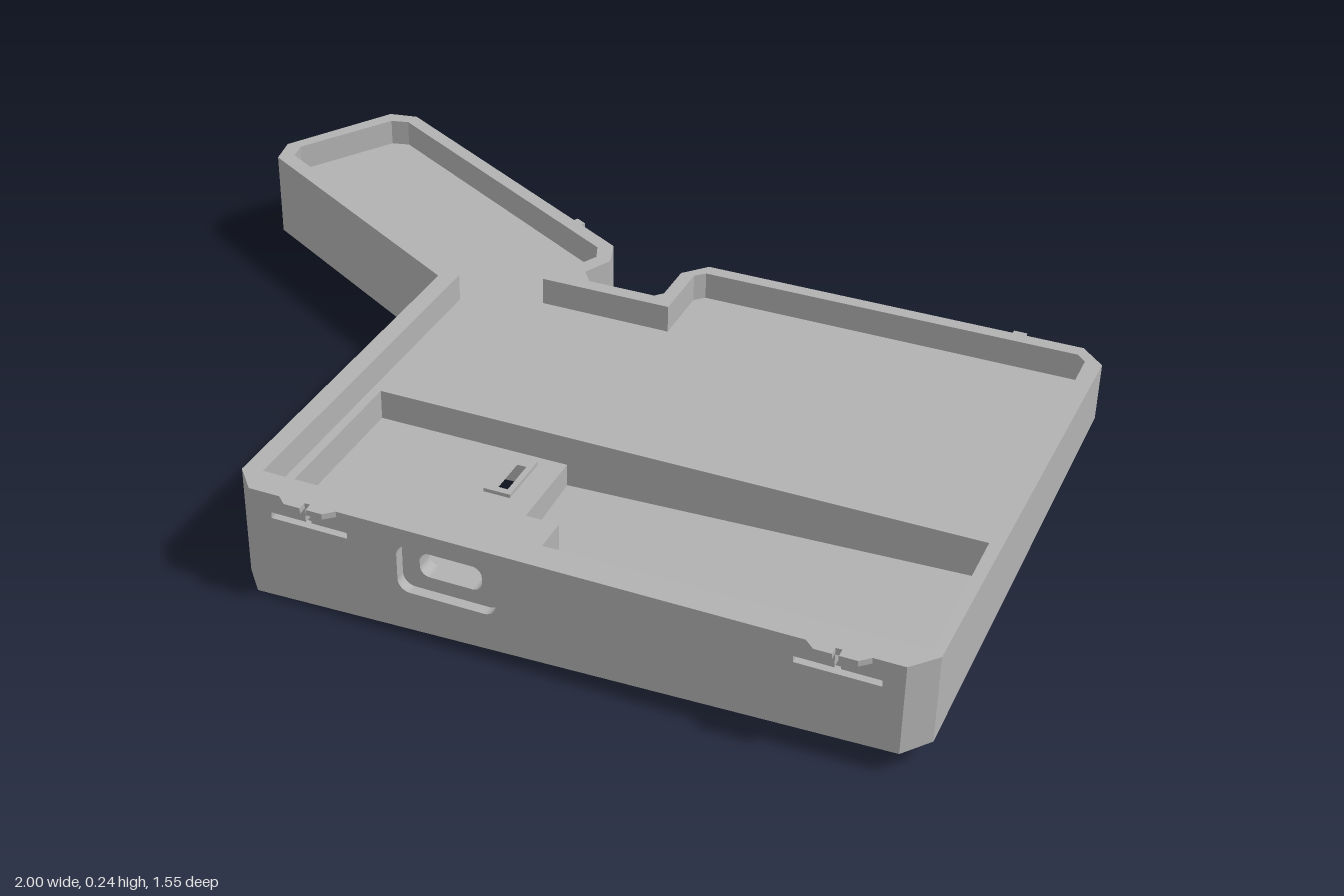
import * as THREE from 'three';

const TOP = 0.24, LEDGE = 0.18, SEAT = 0.115, ROOF = 0.1;
// the underside is one tilted plane
const under = (x, z) => 0.003 + 0.037 * (x + 0.385) - 0.057 * (z - 0.72);

const grey = new THREE.MeshStandardMaterial({ color: 0xb2b2b2 });
grey.name = 'light grey';

const rect = (x0, z0, x1, z1) => [[x0, z0], [x1, z0], [x1, z1], [x0, z1]];
const toPoints = (pts, s) => pts.map(([x, y]) => new THREE.Vector2(x, s * y));

export function createModel() {
  const model = new THREE.Group();
  model.name = 'caseTray';

  function add(name, geometry) {
    geometry.computeVertexNormals();
    const mesh = new THREE.Mesh(geometry, grey);
    mesh.name = name;
    model.add(mesh);
    return mesh;
  }

  // upright prism over an x,z outline; low and high are heights or functions of x,z
  function prism(name, outline, low, high, holes = []) {
    const shape = new THREE.Shape(toPoints(outline, -1));
    holes.forEach(h => shape.holes.push(new THREE.Path(toPoints(h, -1))));
    const g = new THREE.ExtrudeGeometry(shape, { depth: 1, bevelEnabled: false });
    g.rotateX(-Math.PI / 2);
    const p = g.attributes.position;
    for (let i = 0; i < p.count; i++) {
      const h = p.getY(i) > 0.5 ? high : low;
      p.setY(i, typeof h === 'function' ? h(p.getX(i), p.getZ(i)) : h);
    }
    return add(name, g);
  }

  // outer wall path and the matching inside path, both from front left to front right
  const outer = [
    [-0.34, 0.75], [-0.385, 0.7], [-0.385, -0.105], [-0.985, -0.45], [-1, -0.52],
    [-0.855, -0.765], [-0.79, -0.777], [-0.095, -0.38], [-0.075, -0.315], [-0.105, -0.25],
    [-0.08, -0.217], [0.07, -0.217], [0.085, -0.235], [0.085, -0.33], [0.13, -0.38],
    [0.95, -0.38], [1, -0.33], [0.98, 0.7], [0.935, 0.75]];
  const innerBack = [
    [-0.345, -0.125], [-0.955, -0.475], [-0.965, -0.52], [-0.835, -0.732], [-0.795, -0.742],
    [-0.125, -0.36], [-0.11, -0.32], [-0.175, -0.185], [0.115, -0.185], [0.115, -0.33],
    [0.135, -0.35], [0.945, -0.35], [0.965, -0.33]];
  const inner = [[-0.34, 0.69], [-0.345, 0.69], ...innerBack, [0.96, 0.69], [0.935, 0.69]];
  prism('sideWalls', [...outer, ...inner.reverse()], under, TOP);

  // main floor and the narrow ledges beside the front pocket
  prism('mainFloor', [[-0.345, 0.27], ...innerBack, [0.963, 0.27]], under, LEDGE);
  prism('ledge', rect(-0.345, 0.27, -0.325, 0.69), under, LEDGE);
  prism('ledge', rect(0.95, 0.27, 0.962, 0.69), under, LEDGE);

  // deep part of the pocket
  prism('pocketFloor', [[0.09, 0.27], [0.95, 0.27], [0.95, 0.69], [0.16, 0.69], [0.16, 0.46], [0.09, 0.46]],
    under, (x, z) => under(x, z) + 0.02);

  // raised platform with a recess below, a slot through it and a connector seat
  const platform = [[-0.325, 0.27], [0.09, 0.27], [0.09, 0.46], [0.16, 0.46], [0.16, 0.69], [-0.325, 0.69]];
  const wedge = [[-0.3, 0.67], [0.25 - 0.11, 0.67], [0.14, 0.6], [-0.3, 0.315]];
  const flat = 0.032;
  prism('platformBase', platform, under, ROOF, [rect(-0.12, 0.28, 0.07, 0.42), wedge]);
  prism('footRecess', wedge, (x, z) => Math.max(flat, under(x, z)), ROOF);
  prism('platformTop', platform, ROOF, SEAT,
    [rect(0, 0.31, 0.025, 0.405), rect(0, 0.58, 0.135, 0.685)]);
  // low rim around the slot
  prism('slotRim', rect(-0.02, 0.295, 0.037, 0.42), SEAT, SEAT + 0.008, [rect(0, 0.31, 0.025, 0.405)]);

  // front wall in two layers: stepped port opening and latch grooves
  function roundedHole(x0, y0, x1, y1, r) {
    const h = new THREE.Path();
    h.moveTo(x0 + r, y0);
    h.absarc(x1 - r, y0 + r, r, -Math.PI / 2, 0);
    h.absarc(x1 - r, y1 - r, r, 0, Math.PI / 2);
    h.absarc(x0 + r, y1 - r, r, Math.PI / 2, Math.PI);
    h.absarc(x0 + r, y0 + r, r, Math.PI, Math.PI * 1.5);
    return h;
  }
  const latchX = [-0.215, 0.815];
  const groove = x => new THREE.Path(toPoints([
    [x - 0.08, 0.185], [x + 0.08, 0.185], [x + 0.08, 0.198], [x + 0.006, 0.198],
    [x + 0.006, 0.226], [x - 0.006, 0.226], [x - 0.006, 0.198], [x - 0.08, 0.198]], 1));

  function frontLayer(name, z, depth, holes) {
    const shape = new THREE.Shape(toPoints([[-0.34, 0], [0.935, 0], [0.935, TOP], [-0.34, TOP]], 1));
    shape.holes.push(...holes);
    const g = new THREE.ExtrudeGeometry(shape, { depth, bevelEnabled: false, curveSegments: 6 });
    g.translate(0, 0, z);
    const p = g.attributes.position;
    for (let i = 0; i < p.count; i++) {
      if (p.getY(i) < 0.05) p.setY(i, under(p.getX(i), p.getZ(i)));
    }
    add(name, g);
  }
  frontLayer('frontWallInside', 0.69, 0.038, [roundedHole(0.003, 0.13, 0.13, 0.182, 0.02)]);
  frontLayer('frontWallOutside', 0.728, 0.022,
    [roundedHole(-0.033, 0.1, 0.168, 0.205, 0.025), ...latchX.map(groove)]);

  // latch tabs on the front rim
  for (const x of latchX) {
    for (const s of [-1, 1]) {
      const tab = [[x + s * 0.006, 0.745], [x + s * 0.065, 0.745], [x + s * 0.04, 0.768], [x + s * 0.006, 0.768]];
      prism('latchTab', s > 0 ? tab : tab.reverse(), 0.228, TOP);
    }
  }

  // upright ribs and catches on the back walls
  for (const [x, z, turn] of [[0.815, -0.38, 0], [-0.215, -0.4486, -0.519]]) {
    const catchGroup = new THREE.Group();
    catchGroup.name = 'backCatch';
    for (const [w, y0, y1, d] of [[0.014, under(x, z) + 0.015, 0.2, 0.012], [0.028, 0.215, 0.238, 0.026]]) {
      const mesh = add('catchRib', new THREE.BoxGeometry(w, y1 - y0, d));
      mesh.position.y = (y0 + y1) / 2;
      catchGroup.add(mesh);
    }
    catchGroup.position.set(x, 0, z);
    catchGroup.rotation.y = turn;
    model.add(catchGroup);
  }
  return model;
}
